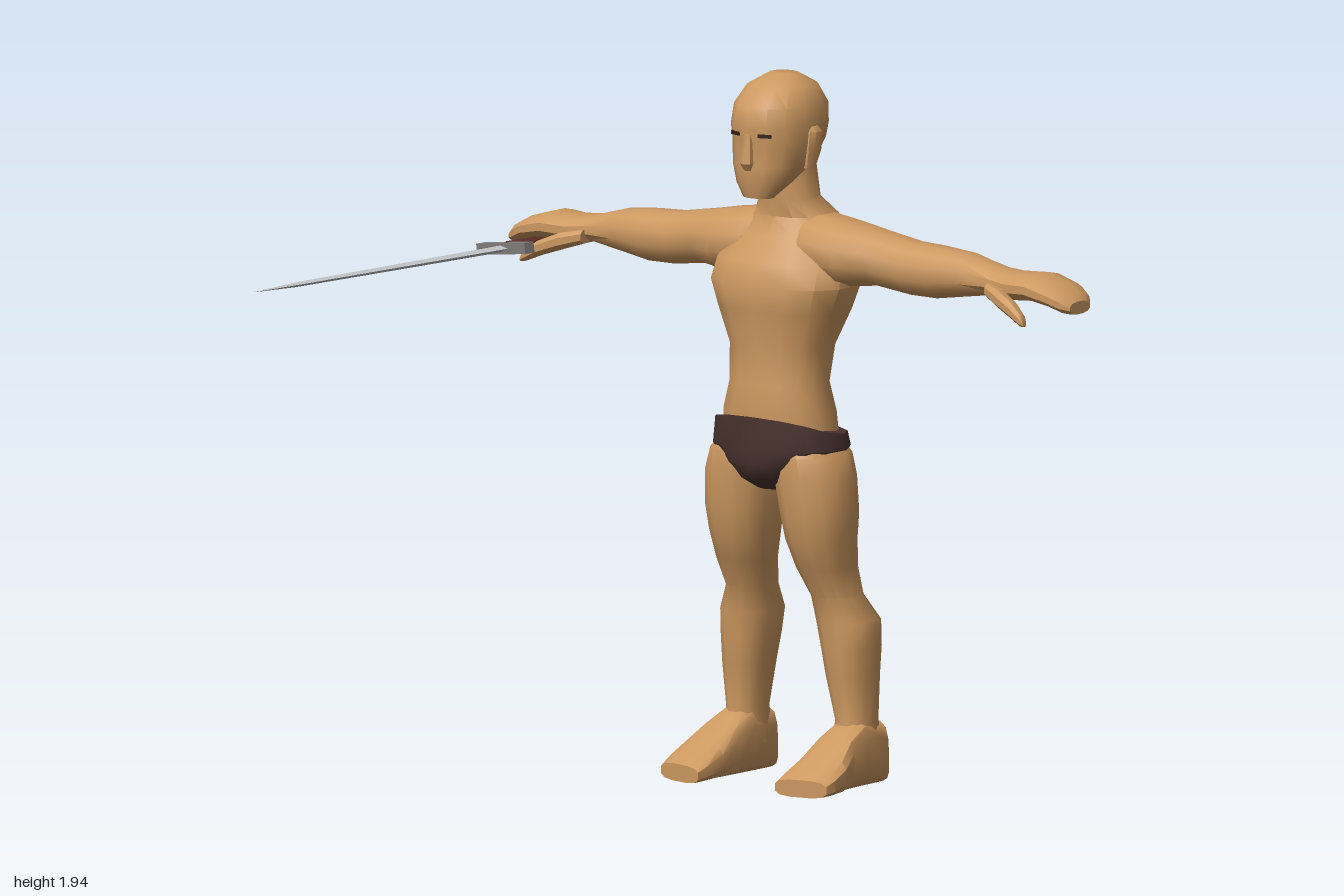
import * as THREE from 'three';
import { toCreasedNormals } from 'three/addons/utils/BufferGeometryUtils.js';

const CX = 0.027; // body midline
const mat = (name, color) => new THREE.MeshStandardMaterial({ name, color });

// Skins closed cross-sections. Each ring is [t, aMin, aMax, bMin, bMax, lift];
// map(a, b, t) places a point; e sets how square the sections are.
function loft(rings, map, e = 2.2, n = 12, crease = 0.7) {
  const pos = [], idx = [];
  const pw = v => Math.sign(v) * Math.pow(Math.abs(v), 2 / e);
  for (const [t, a0, a1, b0, b1, lift = 0] of rings) {
    for (let i = 0; i < n; i++) {
      const u = ((i + 0.5) / n) * Math.PI * 2, c = pw(Math.cos(u)), s = pw(Math.sin(u));
      const a = (a0 + a1) / 2 + c * (a1 - a0) / 2;
      const b = (b0 + b1) / 2 + s * (b1 - b0) / 2;
      pos.push(...map(a, b, t + lift * Math.max(0, s)));
    }
  }
  const last = (rings.length - 1) * n;
  for (let r = 0; r < last; r += n) {
    for (let i = 0; i < n; i++) {
      const j = (i + 1) % n;
      idx.push(r + i, r + j, r + n + j, r + i, r + n + j, r + n + i);
    }
  }
  for (let i = 1; i < n - 1; i++) {
    idx.push(0, i + 1, i, last, last + i, last + i + 1);
  }
  // Turn the faces outward if the mapping mirrored them
  const p = k => new THREE.Vector3().fromArray(pos, k * 3);
  let vol = 0;
  for (let k = 0; k < idx.length; k += 3) {
    vol += p(idx[k]).dot(p(idx[k + 1]).cross(p(idx[k + 2])));
  }
  if (vol < 0) idx.reverse();
  const g = new THREE.BufferGeometry();
  g.setAttribute('position', new THREE.Float32BufferAttribute(pos, 3));
  g.setIndex(idx);
  return toCreasedNormals(g, crease);
}

export function createModel() {
  const model = new THREE.Group();
  const skin = mat('skin', 0xcc9860), cloth = mat('dark cloth', 0x49332f);
  const steel = mat('blade steel', 0xbfc3c6), iron = mat('dull iron', 0x807c79);
  const grip = mat('grip leather', 0x5c2f2a), dark = mat('eye', 0x33241c);
  const add = (name, geo, m, parent = model) => {
    const mesh = new THREE.Mesh(geo, m);
    mesh.name = name;
    parent.add(mesh);
    return mesh;
  };
  // Upright symmetric section: [height, half width, back z, front z, front lift]
  const upright = rows => rows.map(([y, h, zb, zf, l]) => [y, -h, h, zb, zf, l]);
  const up = (a, b, t) => [CX + a, t, b];

  // Torso and neck
  add('torso', loft(upright([
    [0.95, 0.17, -0.51, -0.28], [1.02, 0.165, -0.505, -0.268], [1.1, 0.145, -0.49, -0.28],
    [1.2, 0.152, -0.51, -0.285], [1.3, 0.195, -0.55, -0.268], [1.37, 0.222, -0.566, -0.26],
    [1.43, 0.215, -0.573, -0.285], [1.5, 0.17, -0.572, -0.335], [1.55, 0.115, -0.557, -0.362],
    [1.6, 0.082, -0.505, -0.352], [1.7, 0.075, -0.49, -0.35],
  ]), up, 2.3, 14), skin);

  // Briefs taper to a V between the legs
  add('briefs', loft(upright([
    [0.965, 0.19, -0.53, -0.256, 0.05], [0.925, 0.2, -0.535, -0.255], [0.88, 0.15, -0.53, -0.258],
    [0.84, 0.1, -0.515, -0.275], [0.81, 0.05, -0.47, -0.32],
  ]), up, 2.4, 14), cloth);

  // Head
  add('head', loft(upright([
    [1.612, 0.045, -0.33, -0.262], [1.65, 0.075, -0.39, -0.25], [1.7, 0.102, -0.47, -0.246],
    [1.765, 0.116, -0.515, -0.252], [1.805, 0.118, -0.53, -0.242], [1.86, 0.115, -0.528, -0.255],
    [1.91, 0.09, -0.495, -0.3], [1.94, 0.04, -0.44, -0.365],
  ]), up, 2.2, 14), skin);
  add('nose', loft(upright([
    [1.69, 0.012, -0.27, -0.238], [1.71, 0.02, -0.27, -0.224], [1.79, 0.01, -0.27, -0.24],
  ]), up, 2, 6, 0.4), skin);

  for (const side of [1, -1]) {
    const pre = side > 0 ? 'left' : 'right';
    const X = s => CX + side * s;

    const eye = add(pre + 'Eye', new THREE.BoxGeometry(0.036, 0.01, 0.008), dark);
    eye.position.set(X(0.05), 1.787, -0.258);
    eye.rotation.y = side * 0.35;

    add(pre + 'Ear', loft([
      [1.69, 0.09, 0.112, -0.41, -0.37], [1.74, 0.09, 0.125, -0.425, -0.365],
      [1.79, 0.09, 0.13, -0.425, -0.365], [1.805, 0.09, 0.122, -0.41, -0.375],
    ], (a, b, t) => [X(a), t, b], 2.2, 8), skin);

    // Arm and cupped hand, sections along x: low, high, back, front
    add(pre + 'Arm', loft([
      [0, 1.39, 1.55, -0.555, -0.38], [0.1, 1.365, 1.56, -0.576, -0.335],
      [0.21, 1.37, 1.545, -0.572, -0.335], [0.3, 1.38, 1.528, -0.56, -0.365],
      [0.41, 1.365, 1.51, -0.55, -0.385], [0.5, 1.365, 1.507, -0.546, -0.385],
      [0.6, 1.38, 1.497, -0.54, -0.4], [0.7, 1.395, 1.47, -0.535, -0.412],
      [0.76, 1.387, 1.465, -0.548, -0.4], [0.84, 1.393, 1.468, -0.568, -0.385],
      [0.91, 1.383, 1.448, -0.562, -0.388], [0.95, 1.368, 1.428, -0.542, -0.405],
      [0.973, 1.37, 1.406, -0.515, -0.425],
    ], (a, b, t) => [X(t), a, b]), skin);
    add(pre + 'Thumb', loft([
      [0.7, 1.395, 1.435, -0.44, -0.395], [0.76, 1.375, 1.425, -0.42, -0.365],
      [0.82, 1.355, 1.4, -0.395, -0.348], [0.86, 1.338, 1.372, -0.375, -0.343],
      [0.872, 1.338, 1.352, -0.365, -0.348],
    ], (a, b, t) => [X(t), a, b], 2.2, 8), skin);

    // Leg, sections along y: inner, outer, back, front
    add(pre + 'Leg', loft([
      [0.95, 0.03, 0.17, -0.49, -0.3], [0.91, 0.02, 0.203, -0.505, -0.28],
      [0.85, 0.015, 0.224, -0.503, -0.28], [0.75, 0.03, 0.23, -0.502, -0.29],
      [0.68, 0.042, 0.222, -0.5, -0.302], [0.6, 0.062, 0.215, -0.502, -0.332],
      [0.52, 0.085, 0.21, -0.525, -0.375], [0.45, 0.085, 0.248, -0.563, -0.388],
      [0.38, 0.1, 0.247, -0.564, -0.392], [0.3, 0.115, 0.244, -0.555, -0.4],
      [0.18, 0.138, 0.24, -0.545, -0.42], [0.08, 0.135, 0.25, -0.56, -0.4],
    ], (a, b, t) => [X(a), t, b], 2.3), skin);

    // Foot, sections along z: inner, outer, sole, instep; inner toes reach further
    add(pre + 'Foot', loft([
      [-0.572, 0.155, 0.23, 0, 0.1], [-0.55, 0.14, 0.245, 0, 0.17],
      [-0.45, 0.133, 0.255, 0, 0.185], [-0.38, 0.13, 0.265, 0, 0.15],
      [-0.31, 0.127, 0.288, 0, 0.1], [-0.25, 0.127, 0.294, 0, 0.068],
      [-0.215, 0.132, 0.288, 0, 0.048],
    ], (a, b, t) => [X(a), b, t + Math.max(0, (t + 0.4) / 0.18) * (0.21 - a) * 0.2], 3.2), skin);
  }

  // Sword held under the right hand, built along +z from the pommel
  const sword = new THREE.Group(), hilt = new THREE.Group();
  sword.name = 'sword';
  hilt.name = 'swordParts';
  sword.position.set(-0.815, 1.384, -0.58);
  sword.lookAt(-1.0, 1.36, 0.6);
  hilt.rotation.z = 0.13;
  sword.add(hilt);
  model.add(sword);
  add('pommel', new THREE.BoxGeometry(0.05, 0.042, 0.04), iron, hilt);
  const handle = add('handle', new THREE.CylinderGeometry(0.018, 0.018, 0.27, 8), grip, hilt);
  handle.rotation.x = Math.PI / 2;
  handle.position.z = 0.14;
  add('guard', new THREE.BoxGeometry(0.195, 0.03, 0.034), iron, hilt).position.z = 0.28;
  // Blade with a diamond section and a tapering point
  add('blade', loft([
    [0.28, -0.029, 0.029, -0.009, 0.009], [1.04, -0.022, 0.022, -0.006, 0.006],
    [1.194, -0.001, 0.001, -0.001, 0.001],
  ], (a, b, t) => [(a - b * 3.1) * 0.72, (a / 3.1 + b) * 0.72, t], 2, 4, 0.1), steel, hilt);

  return model;
}
